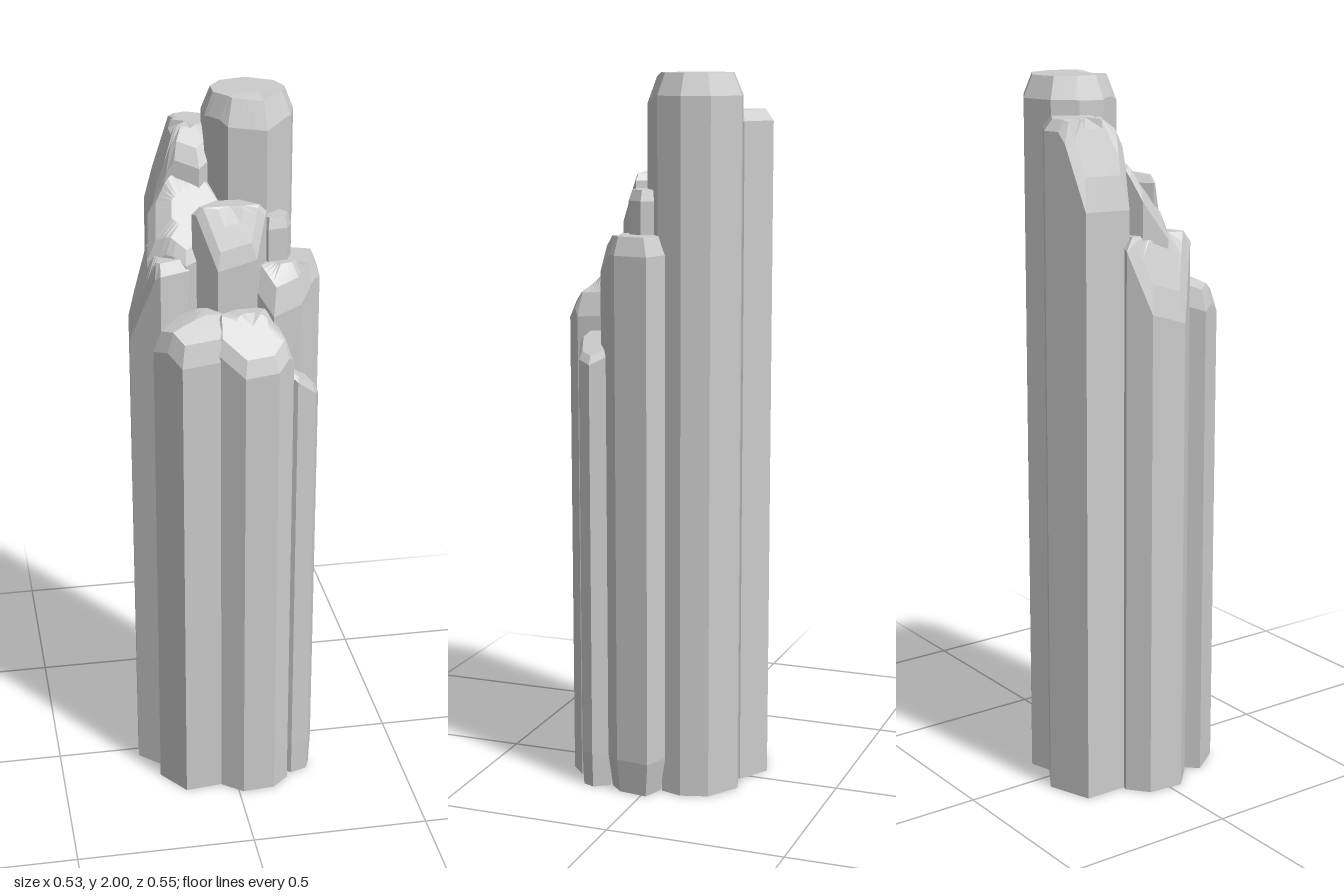
import * as THREE from 'three';

const { min, max, PI, cos, sin } = Math;

// Each column: plan bounds [x0, x1, z0, z1], side count, top height rule h(x, z),
// rim chamfer, and optional turn, skew and foot taper
const COLUMNS = [
  { name: 'tallColumn', plan: [-.04, .207, -.236, .027], sides: 9, chamfer: .06,
    h: (x, z) => min(2, 2.02 + x * .6, 1.99 - z * .5) },
  { name: 'backColumn', plan: [-.185, .03, -.275, -.045], sides: 6, turn: PI / 6, chamfer: .03,
    h: (x, z) => min(1.9, 2.21 + x * 2.8, 1.79 - z * .9) },
  { name: 'slantedColumn', plan: [-.21, .02, -.09, .075], sides: 7, chamfer: .02,
    h: (x, z) => min(1.78, 1.69 - z * 1.3, 1.87 - z * 1.2 + x * 1.2) },
  { name: 'centreColumn', plan: [-.095, .105, 0, .125], sides: 6, chamfer: .02,
    h: (x, z) => min(1.73, 1.89 - z * 2.4) },
  { name: 'smallInnerColumn', plan: [.08, .18, -.03, .07], sides: 6, chamfer: .03,
    h: () => 1.69 },
  { name: 'rightColumn', plan: [.055, .263, -.06, .155], sides: 7, turn: PI, skew: -.4, chamfer: .05, taper: .84,
    h: (x, z) => min(1.57, 1.68 - z * 1.2) },
  { name: 'leftColumn', plan: [-.265, -.08, -.11, .11], sides: 7, chamfer: .03,
    h: (x) => min(1.59, 2.18 + x * 3) },
  { name: 'frontLeftColumn', plan: [-.215, .005, .075, .235], sides: 6, chamfer: .05,
    h: (x, z) => min(1.46, 1.49 + x * .35, 1.56 - z * .7) },
  { name: 'frontColumn', plan: [-.06, .152, .1, .27], sides: 8, turn: PI / 8, chamfer: .03,
    h: (x, z) => min(1.46, 1.62 - z, 1.61 - x * 1.6) },
  { name: 'lowRightColumn', plan: [.12, .235, .1, .205], sides: 7, chamfer: .015, taper: .92,
    h: (x) => 1.42 - x * .8 },
];

// Clockwise polygon (seen from above) fitted to the plan bounds
function footprint({ plan: [x0, x1, z0, z1], sides, turn = 0, skew = 0 }) {
  const raw = Array.from({ length: sides }, (_, i) => {
    const a = turn + (i + .18 * sin(i * 5)) / sides * 2 * PI;
    return [cos(a), sin(a) + skew * cos(a)];
  });
  const fit = (k, lo, hi) => {
    const v = raw.map((p) => p[k]);
    const a = min(...v), b = max(...v);
    return v.map((t) => lo + (t - a) / (b - a) * (hi - lo));
  };
  const xs = fit(0, x0, x1), zs = fit(1, z0, z1);
  return xs.map((x, i) => [x, zs[i]]);
}

function inside([x, z], foot) {
  let hit = false;
  foot.forEach(([ax, az], i) => {
    const [bx, bz] = foot[(i + 1) % foot.length];
    if ((az > z) !== (bz > z) && x < ax + (z - az) / (bz - az) * (bx - ax)) hit = !hit;
  });
  return hit;
}

// Split every footprint edge so that walls can stop where a neighbour covers them
function subdivide(foot, n) {
  return foot.flatMap(([ax, az], i) => {
    const [bx, bz] = foot[(i + 1) % foot.length];
    return Array.from({ length: n }, (_, k) => [ax + (bx - ax) * k / n, az + (bz - az) * k / n]);
  });
}

function columnGeometry(col, feet) {
  const pts = subdivide(feet.get(col), 6);
  const n = pts.length;
  const [x0, x1, z0, z1] = col.plan;
  const cx = (x0 + x1) / 2, cz = (z0 + z1) / 2;
  const scaled = ([x, z], s) => [cx + (x - cx) * s, cz + (z - cz) * s];
  const pos = [];
  const quad = (a, b, c, d) => pos.push(...a, ...b, ...c, ...a, ...c, ...d);

  // Rings over the top: rim, chamfer edge, inner ring, centre
  const rings = [1, .8, .4, 0].map((s, r) => pts.map((p) => {
    const [x, z] = scaled(p, s);
    return [x, col.h(x, z) - (r === 0 ? col.chamfer : 0), z];
  }));

  // Height up to which other columns hide the wall
  const base = pts.map((p) => max(0, ...COLUMNS.map((o) =>
    o !== col && inside(p, feet.get(o)) ? o.h(p[0], p[1]) - o.chamfer - .08 : 0)));

  for (let i = 0; i < n; i++) {
    const j = (i + 1) % n;
    const y0 = min(base[i], base[j]);
    const at = (k, y, s = 1) => {
      const [x, z] = scaled(pts[k], s);
      return [x, y, z];
    };
    if (y0 < min(rings[0][i][1], rings[0][j][1])) {
      const tapered = col.taper && y0 === 0;
      const low = tapered ? .1 : y0;
      if (tapered) quad(at(j, 0, col.taper), at(i, 0, col.taper), at(i, low), at(j, low));
      quad(at(j, low), at(i, low), rings[0][i], rings[0][j]);
    }
    for (let r = 0; r < 2; r++) quad(rings[r][j], rings[r][i], rings[r + 1][i], rings[r + 1][j]);
    pos.push(...rings[2][j], ...rings[2][i], ...rings[3][i]);
  }
  const g = new THREE.BufferGeometry();
  g.setAttribute('position', new THREE.Float32BufferAttribute(pos, 3));
  g.computeVertexNormals();
  return g;
}

export function createModel() {
  const group = new THREE.Group();
  group.name = 'rockColumns';
  const feet = new Map(COLUMNS.map((col) => [col, footprint(col)]));
  // The cluster is open underneath
  const rock = new THREE.MeshStandardMaterial({ color: 0xcccccc, flatShading: true, side: THREE.DoubleSide });
  for (const col of COLUMNS) {
    const mesh = new THREE.Mesh(columnGeometry(col, feet), rock);
    mesh.name = col.name;
    group.add(mesh);
  }
  return group;
}
